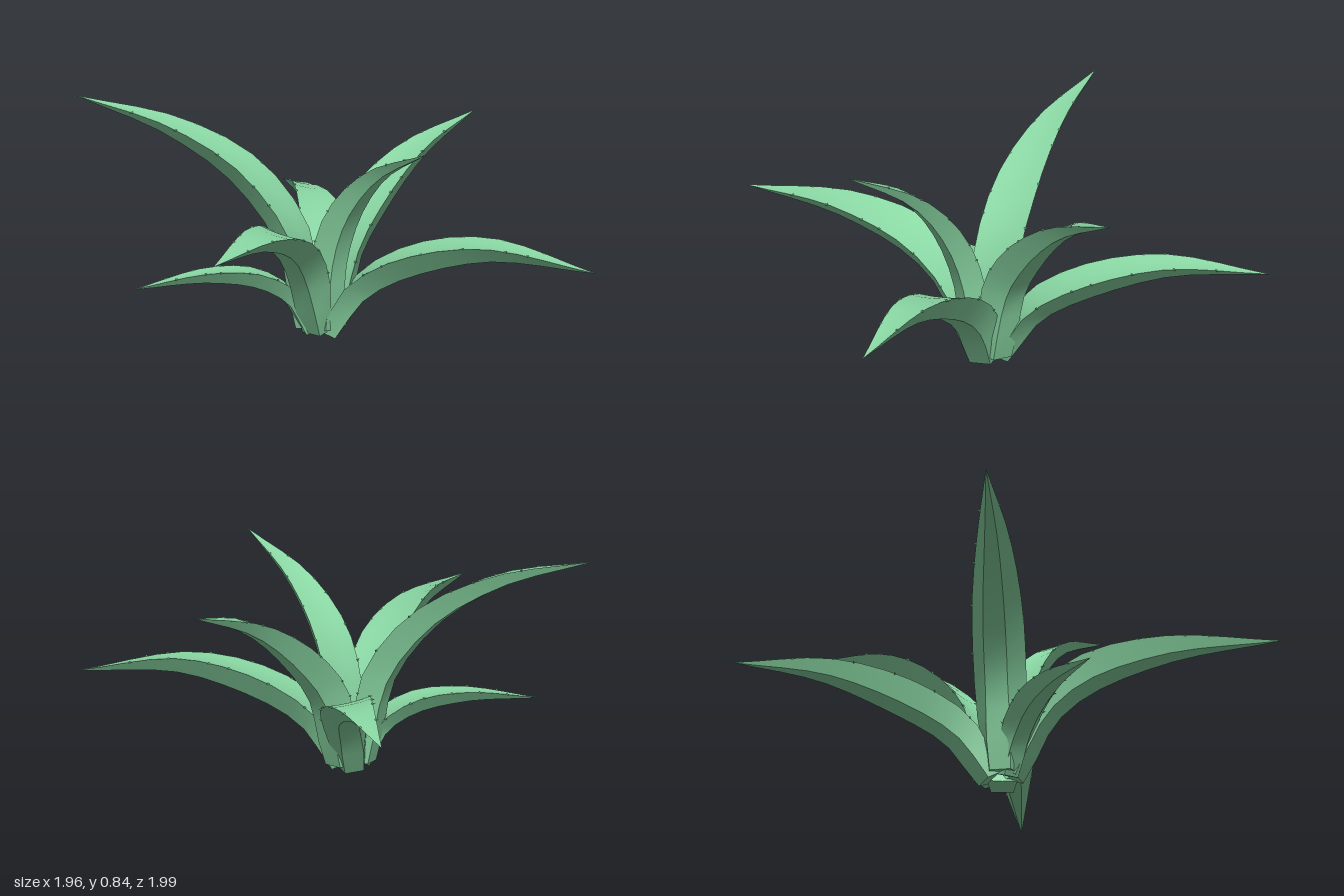
import * as THREE from 'three';
import { mergeGeometries } from 'three/addons/utils/BufferGeometryUtils.js';

const STEPS = 12;
const UP = new THREE.Vector3(0, 1, 0);
// Relative half width at equal steps from base to tip
const WIDTHS = [0.55, 0.8, 0.97, 1, 1, 0.92, 0.79, 0.62, 0.42, 0.21, 0.004];

// Leaf midlines: a few points between the rims, base to tip; roll tilts the blade sideways
const LEAVES = [
  { name: 'rightLeaf', width: 0.098, roll: -0.12,
    path: [[-0.085, 0.04, -0.04], [-0.135, 0.37, -0.045], [-0.32, 0.615, -0.045], [-0.6, 0.765, -0.04], [-0.98, 0.845, -0.04]] },
  { name: 'leftLeaf', width: 0.102, roll: 0.06,
    path: [[-0.045, 0.03, -0.045], [0.05, 0.205, -0.048], [0.24, 0.325, -0.05], [0.56, 0.383, -0.046], [0.98, 0.295, -0.045]] },
  { name: 'backRightLeaf', width: 0.09, roll: 0.2,
    path: [[-0.065, 0.03, -0.075], [-0.075, 0.215, -0.185], [-0.12, 0.325, -0.35], [-0.25, 0.4, -0.65], [-0.45, 0.345, -1]] },
  { name: 'backLeftLeaf', width: 0.098, roll: 0,
    path: [[-0.04, 0.04, -0.085], [-0.012, 0.31, -0.135], [0.06, 0.48, -0.25], [0.18, 0.63, -0.45], [0.34, 0.71, -0.74]] },
  { name: 'frontLeftLeaf', width: 0.082, roll: 0,
    path: [[-0.04, 0.04, -0.03], [-0.02, 0.32, -0.01], [0.05, 0.51, 0.035], [0.19, 0.67, 0.12], [0.43, 0.785, 0.29]] },
  { name: 'frontLeaf', width: 0.094, roll: -0.22,
    path: [[-0.06, 0.04, -0.025], [-0.075, 0.29, 0.08], [-0.088, 0.435, 0.25], [-0.118, 0.512, 0.55], [-0.19, 0.49, 0.99]] },
  { name: 'frontRightLeaf', width: 0.068, roll: 0,
    path: [[-0.08, 0.03, -0.025], [-0.13, 0.17, 0.01], [-0.25, 0.255, 0.075], [-0.42, 0.272, 0.17], [-0.67, 0.22, 0.32]] },
];

function widthAt(t) {
  const f = Math.min(t * 10, 9.9999), i = Math.floor(f);
  return THREE.MathUtils.lerp(WIDTHS[i], WIDTHS[i + 1], f - i);
}

// Smooth strip joining rows of points; separate strips keep creases sharp
function strip(rows) {
  const n = rows[0].length, index = [];
  for (let i = 0; i < rows.length - 1; i++) {
    for (let j = 0; j < n - 1; j++) {
      const a = i * n + j, b = a + n;
      index.push(a, b, a + 1, b, b + 1, a + 1);
    }
  }
  const g = new THREE.BufferGeometry().setFromPoints(rows.flat());
  g.setIndex(index);
  g.computeVertexNormals();
  return g;
}

// Leaf cross-sections: shallow channel on top, three panels below
function leafSections({ path, width, roll }) {
  const curve = new THREE.CatmullRomCurve3(path.map((p) => new THREE.Vector3(...p)), false, 'centripetal');
  const reach = curve.getPoint(1).sub(curve.getPoint(0)).setY(0).normalize();
  const level = reach.cross(UP).normalize();
  const sections = [];
  for (let i = 0; i <= STEPS; i++) {
    const t = i / STEPS, half = width * widthAt(t);
    const centre = curve.getPointAt(t);
    const lift = level.clone().cross(curve.getTangentAt(t)).normalize();
    const up = lift.clone().multiplyScalar(Math.cos(roll)).addScaledVector(level, Math.sin(roll));
    const side = level.clone().multiplyScalar(Math.cos(roll)).addScaledVector(lift, -Math.sin(roll));
    const at = (s, h) => {
      const p = centre.clone().addScaledVector(side, s * half).addScaledVector(up, h * half);
      p.y = Math.max(p.y, 0);
      return p;
    };
    const baseFlare = Math.max(0, 1 - t * 5);
    const panel = 0.43 + 0.3 * baseFlare;
    const depth = -(0.84 + 0.15 * baseFlare);
    sections.push({
      top: [1, 0.5, 0, -0.5, -1].map((s) => at(s, -0.07 * (1 - s * s))),
      low: [at(-panel, depth), at(panel, depth)],
    });
  }
  return sections;
}

function leafGeometry(sections) {
  const parts = [
    strip(sections.map((c) => c.top)),
    strip(sections.map((c) => [c.top[4], c.low[0]])),
    strip(sections.map((c) => c.low)),
    strip(sections.map((c) => [c.low[1], c.top[0]])),
  ];
  // Closed base end
  const { top, low } = sections[0];
  const cap = new THREE.BufferGeometry().setFromPoints([...top, ...low]);
  cap.setIndex([0, 1, 6, 1, 2, 6, 2, 5, 6, 2, 3, 5, 3, 4, 5]);
  cap.computeVertexNormals();
  return mergeGeometries([...parts, cap]);
}

// Small irregular spines along both rims
function spineGeometry(sections, seed) {
  const cones = [];
  for (const [corner, opposite] of [[0, 4], [4, 0]]) {
    for (let k = 0; k < 6; k++) {
      const f = 2.4 + k * 1.4 + ((seed * 7 + k * 5 + corner / 2) % 4) * 0.2;
      const i = Math.floor(f);
      const start = sections[i].top[corner], end = sections[i + 1].top[corner];
      const base = start.clone().lerp(end, f - i);
      const along = end.clone().sub(start).normalize();
      const outward = start.clone().sub(sections[i].top[opposite]).normalize();
      const dir = outward.addScaledVector(along, 0.5).normalize();
      const cone = new THREE.ConeGeometry(0.005, 0.014, 5).translate(0, 0.003, 0);
      cone.applyQuaternion(new THREE.Quaternion().setFromUnitVectors(UP, dir));
      cones.push(cone.translate(base.x, base.y, base.z));
    }
  }
  return mergeGeometries(cones);
}

export function createModel() {
  const green = new THREE.MeshStandardMaterial({ color: 0x8ad8a4 });
  green.name = 'leaf green';
  const plant = new THREE.Group();
  plant.name = 'succulentPlant';
  LEAVES.forEach((leaf, seed) => {
    const sections = leafSections(leaf);
    const group = new THREE.Group();
    group.name = leaf.name;
    const blade = new THREE.Mesh(leafGeometry(sections), green);
    blade.name = 'blade';
    const spines = new THREE.Mesh(spineGeometry(sections, seed), green);
    spines.name = 'spines';
    group.add(blade, spines);
    plant.add(group);
  });
  return plant;
}
